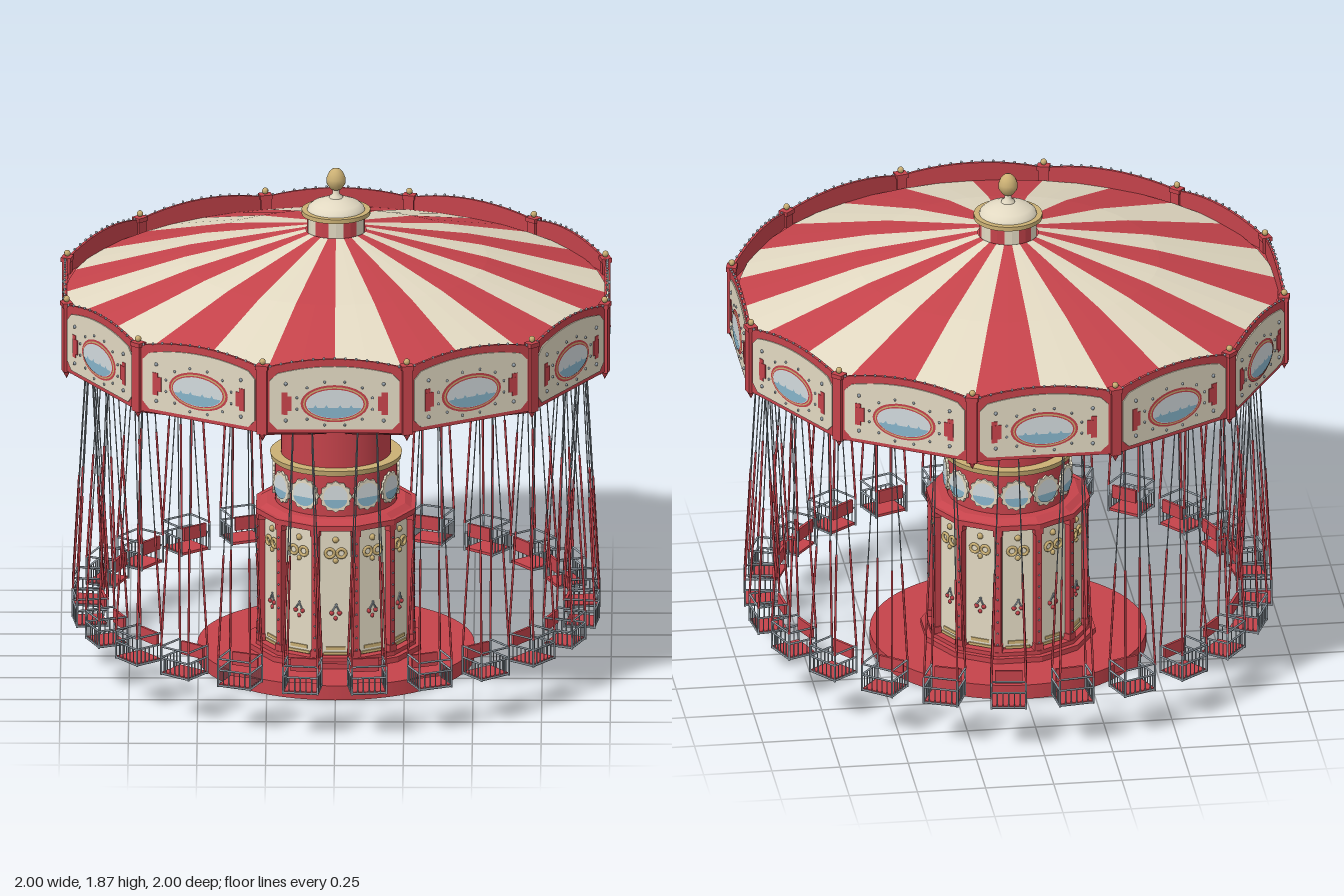
import * as THREE from 'three';
import { mergeGeometries } from 'three/addons/utils/BufferGeometryUtils.js';

const mat = (name, color) => Object.assign(new THREE.MeshStandardMaterial({ color }), { name });
const red = mat('red', 0xc5434b), cream = mat('cream', 0xe2d9c2), gold = mat('gold', 0xcbb074);
const grey = mat('steel grey', 0x98a3ac), darkRed = mat('dark red', 0x9a2f37);
const blue = mat('water blue', 0x86b4ca), pale = mat('pale sky', 0xd2dadd);
const canvas = mat('canvas lining', 0xe4e0d3);
const STEP = Math.PI / 12; // half of one canopy side

// geometry helpers
const at = (g, x, y, z) => g.translate(x, y, z);
const box = (w, h, d, x, y, z) => at(new THREE.BoxGeometry(w, h, d), x, y, z);
const ball = (r, x, y, z, n = 6) => at(new THREE.SphereGeometry(r, n, n - 1), x, y, z);
const V = (x, y, z) => new THREE.Vector3(x, y, z);
function flat(g) {
  const f = g.index ? g.toNonIndexed() : g;
  f.computeVertexNormals();
  return f;
}
const merge = list => mergeGeometries(list.map(g => (g.index ? g.toNonIndexed() : g)));
function rod(a, b, r, sides = 7) {
  const g = new THREE.CylinderGeometry(r, r, a.distanceTo(b), sides);
  const q = new THREE.Quaternion().setFromUnitVectors(V(0, 1, 0), b.clone().sub(a).normalize());
  return g.applyQuaternion(q).translate((a.x + b.x) / 2, (a.y + b.y) / 2, (a.z + b.z) / 2);
}
// twelve-sided drum whose flat sides face the panels
const drum12 = (rTop, rBot, y0, y1) =>
  at(flat(new THREE.CylinderGeometry(rTop, rBot, y1 - y0, 12, 1, false, STEP)), 0, (y0 + y1) / 2, 0);
const drum = (rTop, rBot, y0, y1, n = 48, open = false) =>
  at(new THREE.CylinderGeometry(rTop, rBot, y1 - y0, n, 1, open), 0, (y0 + y1) / 2, 0);
const plate = (shape, depth, z) =>
  at(new THREE.ExtrudeGeometry(shape, { depth, bevelEnabled: false, curveSegments: 10 }), 0, 0, z);
const disc = (rx, ry, y, z, start = 0, len = Math.PI * 2) =>
  at(new THREE.CircleGeometry(1, 28, start, len).scale(rx, ry, 1), 0, y, z);
const profile = list => list.map(p => new THREE.Vector2(...p));

export function createModel() {
  const model = new THREE.Group();
  const add = (name, geo, material, parent = model) => {
    const m = new THREE.Mesh(geo, material);
    m.name = name;
    parent.add(m);
    return m;
  };
  // repeats a set of [name, geometry, material] around the axis
  const ring = (name, n, offset, parts) => {
    for (let i = 0; i < n; i++) {
      const g = new THREE.Group();
      g.name = name;
      g.rotation.y = offset + (i * 2 * Math.PI) / n;
      parts.forEach(p => add(...p, g));
      model.add(g);
    }
  };

  // platform and central tower
  add('platform', drum(0.503, 0.503, 0, 0.055, 64), red);
  add('plinth', merge([drum12(0.32, 0.32, 0.05, 0.075), drum12(0.3, 0.3, 0.07, 0.09)]), red);
  add('towerCore', drum12(0.268, 0.268, 0.08, 0.58), red);
  add('towerLedge', merge([drum12(0.3, 0.3, 0.575, 0.595), drum12(0.26, 0.285, 0.595, 0.61)]), red);
  add('medallionDrum', drum(0.222, 0.222, 0.6, 0.78), red);
  add('drumTrim', drum(0.24, 0.236, 0.768, 0.788), gold);
  add('column', drum(0.2, 0.2, 0.78, 0.97), red);

  // tower panels with ornaments
  const rings = [-1, 1].map(s => at(new THREE.TorusGeometry(0.016, 0.006, 6, 14), s * 0.021, 0.485, 0.27));
  ring('towerPanel', 12, 0, [
    ['panelFace', box(0.112, 0.47, 0.008, 0, 0.335, 0.261), cream],
    ['panelOrnament', merge([...rings, ball(0.012, 0, 0.535, 0.266), ball(0.01, 0, 0.455, 0.266),
      box(0.07, 0.012, 0.006, 0, 0.12, 0.266), box(0.09, 0.01, 0.008, 0, 0.1, 0.266)]), gold],
    ['panelCherries', merge([ball(0.009, -0.014, 0.255, 0.266), ball(0.009, 0.014, 0.255, 0.266),
      ball(0.008, 0, 0.235, 0.266)]), red],
    ['panelSprig', merge([rod(V(-0.014, 0.26, 0.268), V(0.005, 0.29, 0.268), 0.003),
      rod(V(0.014, 0.26, 0.268), V(0, 0.29, 0.268), 0.003)]), grey],
  ]);
  const studs = [];
  for (let y = 0.12; y < 0.57; y += 0.045) studs.push(ball(0.004, 0, y, 0.294, 5));
  ring('towerPost', 12, STEP, [
    ['postShaft', box(0.024, 0.5, 0.03, 0, 0.33, 0.278), red],
    ['postBlocks', merge([box(0.034, 0.03, 0.036, 0, 0.1, 0.278), box(0.034, 0.025, 0.036, 0, 0.565, 0.278)]), red],
    ['postStuds', merge(studs), grey],
  ]);

  // scalloped medallions
  const scallop = new THREE.Shape();
  for (let i = 0; i <= 48; i++) {
    const a = (i / 48) * Math.PI * 2, r = 0.056 + 0.004 * Math.cos(a * 12);
    scallop[i ? 'lineTo' : 'moveTo'](r * Math.cos(a), 0.687 + r * Math.sin(a));
  }
  ring('medallion', 12, 0, [
    ['medallionPlate', plate(scallop, 0.009, 0.221), cream],
    ['medallionSky', disc(0.044, 0.044, 0.687, 0.232), pale],
    ['medallionWater', disc(0.042, 0.034, 0.678, 0.234, Math.PI, Math.PI), blue],
  ]);

  // striped roof and lantern: wedges in alternating colours
  const roofLine = profile([[0.982, 1.395], [0.55, 1.53], [0.11, 1.637]]);
  const lanternLine = profile([[0.105, 1.62], [0.105, 1.705]]);
  [cream, red].forEach((m, odd) => {
    const wedges = (line, n, start, width) => merge(Array.from({ length: n }, (_, i) =>
      flat(new THREE.LatheGeometry(line, 2, start + (2 * i + odd) * width, width))));
    add('roofStripes', wedges(roofLine, 12, 0, STEP), m);
    add('lanternStripes', wedges(lanternLine, 6, -STEP, 2 * STEP), m);
  });
  add('roofGutter', drum12(1.01, 1.01, 1.372, 1.382), red);
  add('lanternRing', drum(0.125, 0.125, 1.698, 1.714), gold);
  const dome = [[0.106, 1.71], [0.102, 1.724], [0.085, 1.738], [0.055, 1.75], [0.03, 1.758], [0, 1.76]];
  add('lanternDome', new THREE.LatheGeometry(profile(dome), 32), cream);
  const neck = [[0.026, 1.75], [0.024, 1.765], [0.012, 1.773], [0.012, 1.792]];
  add('finialNeck', new THREE.LatheGeometry(profile(neck), 20), cream);
  const finial = [[0, 1.785], [0.02, 1.792], [0.034, 1.812], [0.035, 1.832], [0.027, 1.853],
    [0.014, 1.867], [0, 1.872]];
  add('finial', new THREE.LatheGeometry(profile(finial), 20), gold);

  // canopy underside and its twelve truss beams
  add('canopyUnderside', drum(0.984, 0.19, 0.94, 1.195, 24, true), canvas);
  const rails = [], rungs = [];
  for (const s of [-0.012, 0.012]) rails.push(rod(V(s, 0.92, 0.18), V(s, 1.182, 1), 0.009));
  for (let i = 1; i < 20; i++) {
    const t = i / 20;
    rungs.push(box(0.026, 0.008, 0.012, 0, 0.92 + 0.262 * t, 0.18 + 0.82 * t));
  }
  ring('beam', 12, STEP, [['beamRails', merge(rails), red], ['beamRungs', merge(rungs), darkRed]]);

  // arched fascia boards with painted scenes
  const arch = (w, y0, y1, rise, cut) => {
    const s = new THREE.Shape();
    s.moveTo(-w + cut, y0);
    s.lineTo(w - cut, y0);
    if (cut) s.lineTo(w, y0 + cut).lineTo(w, y1 - cut);
    s.lineTo(w - cut, y1);
    s.quadraticCurveTo(0, y1 + 2 * rise, -w + cut, y1);
    if (cut) s.lineTo(-w, y1 - cut).lineTo(-w, y0 + cut);
    s.closePath();
    return s;
  };
  const bulbs = [], blocks = [];
  for (let i = -6; i <= 6; i++) {
    const u = i / 6.4;
    bulbs.push(ball(0.005, u * 0.25, 1.436 + 0.035 * (1 - u * u), 0.985, 6));
  }
  for (let i = 0; i < 12; i++) {
    const a = ((i + 0.5) / 12) * Math.PI * 2;
    bulbs.push(ball(0.005, 0.142 * Math.cos(a), 1.3 + 0.085 * Math.sin(a), 0.991, 6));
  }
  for (const s of [-1, 1]) {
    blocks.push(box(0.036, 0.055, 0.004, s * 0.175, 1.3, 0.991), box(0.022, 0.085, 0.004, s * 0.182, 1.3, 0.9905));
    for (const y of [1.235, 1.375]) bulbs.push(ball(0.007, s * 0.178, y, 0.991, 6));
  }
  // waterline with a skyline of small boats
  const water = new THREE.Shape();
  water.moveTo(-0.099, 1.285);
  water.absellipse(0, 1.3, 0.102, 0.053, Math.PI + 0.28, 2 * Math.PI - 0.28, false);
  for (const x of [0.06, 0.02, -0.03, -0.07]) {
    water.lineTo(x + 0.007, 1.286).lineTo(x, 1.296).lineTo(x - 0.007, 1.286);
  }
  water.closePath();
  ring('fascia', 12, 0, [
    ['fasciaBoard', plate(arch(0.264, 1.185, 1.432, 0.036, 0), 0.01, 0.976), red],
    ['fasciaPanel', plate(arch(0.236, 1.2, 1.414, 0.027, 0.028), 0.004, 0.986), cream],
    ['fasciaBlocks', merge(blocks), red],
    ['fasciaBulbs', merge(bulbs), grey],
    ['sceneFrame', disc(0.124, 0.071, 1.3, 0.992), red],
    ['sceneTrim', disc(0.115, 0.064, 1.3, 0.994), gold],
    ['sceneInnerFrame', disc(0.11, 0.059, 1.3, 0.9955), red],
    ['sceneSky', disc(0.105, 0.055, 1.3, 0.997), pale],
    ['sceneWater', at(new THREE.ShapeGeometry(water), 0, 0, 0.9985), blue],
  ]);
  ring('canopyPost', 12, STEP, [
    ['postBody', merge([box(0.038, 0.26, 0.03, 0, 1.31, 1.012), box(0.046, 0.016, 0.038, 0, 1.436, 1.012),
      at(new THREE.ConeGeometry(0.016, 0.03, 6).rotateX(Math.PI), 0, 1.167, 1.012)]), red],
    ['postFinial', ball(0.012, 0, 1.456, 1.012, 8), gold],
  ]);

  // hanging seats: pan, backrest, guard rails, chains with red sleeves
  const R = 0.9, w = 0.063, d = 0.056, steel = [], sleeves = [];
  const bar = (a, b, r = 0.003, sides = 5) => steel.push(rod(a, b, r, sides));
  for (const y of [0.278, 0.235, 0.175]) {
    bar(V(-w, y, R + d), V(w, y, R + d), 0.004);
    for (const s of [-w, w]) bar(V(s, y, R - d), V(s, y, R + d), 0.004);
  }
  for (let i = -3; i <= 3; i++) {
    const t = i / 3;
    bar(V(w * t, 0.175, R + d), V(w * t, 0.235, R + d), 0.0025);
    for (const s of [-w, w]) bar(V(s, 0.175, R + d * t), V(s, 0.235, R + d * t), 0.0025);
  }
  for (const x of [-1, 1]) for (const z of [-1, 1]) {
    const low = V(x * w, 0.275, R + z * d), top = V(x * 0.035, 1.17, R + z * 0.008);
    const joint = low.clone().lerp(top, 0.44);
    bar(V(x * w, 0.17, R + z * d), low, 0.004);
    bar(joint, top, 0.0022, 7);
    sleeves.push(rod(low, joint, 0.0042));
  }
  ring('swing', 24, STEP / 2, [
    ['seat', merge([box(0.12, 0.01, 0.106, 0, 0.176, R), box(0.1, 0.05, 0.01, 0, 0.25, R - 0.05)]), red],
    ['guardRailsAndChains', merge(steel), grey],
    ['chainSleeves', merge(sleeves), red],
  ]);
  return model;
}
